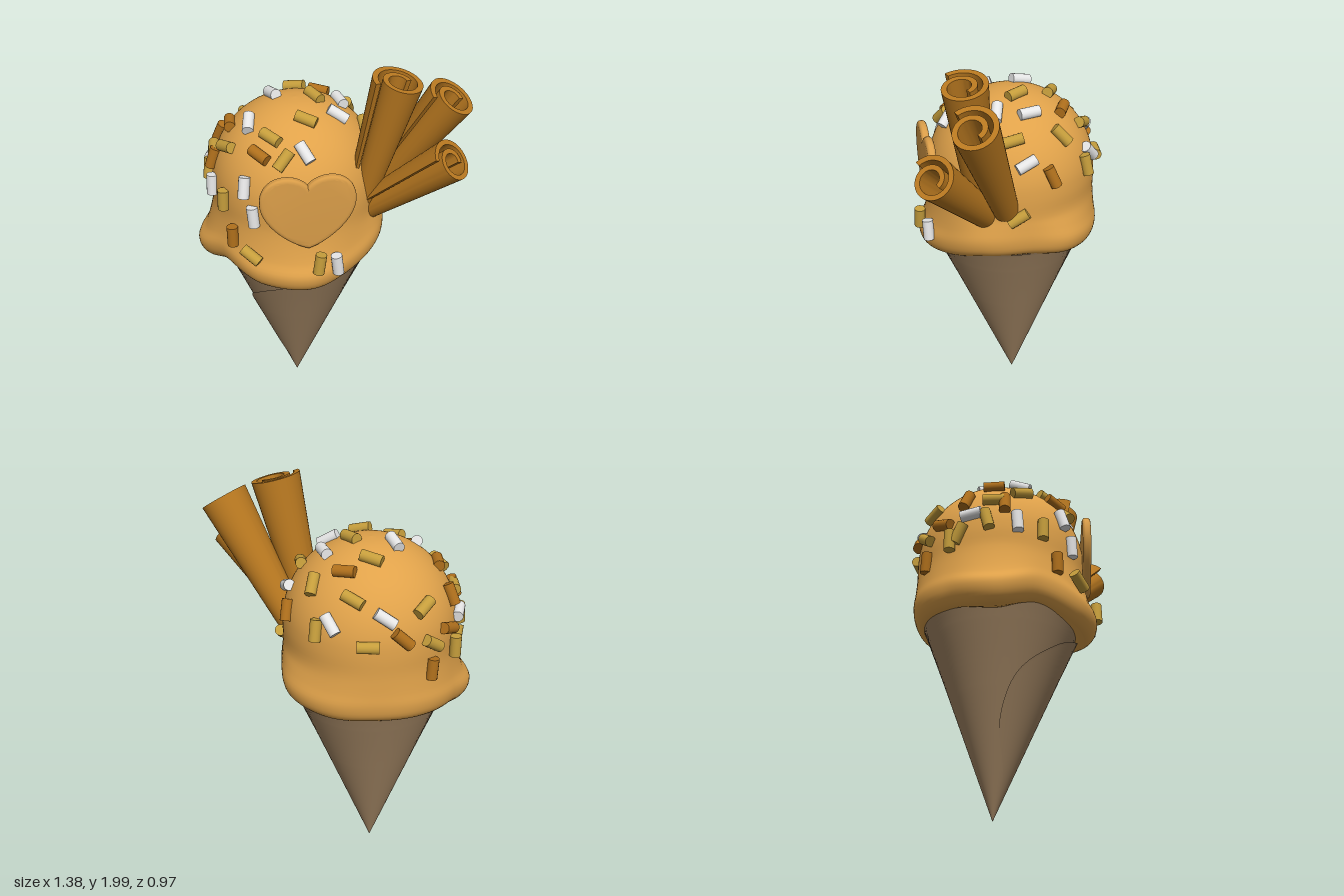
import * as THREE from 'three';
import { toCreasedNormals } from 'three/addons/utils/BufferGeometryUtils.js';

const V = (x, y, z) => new THREE.Vector3(x, y, z);
const CENTRE = V(-0.22, 1.34, -0.03);
const R = 0.43;

const paint = (name, color, side = THREE.FrontSide) => {
  const m = new THREE.MeshStandardMaterial({ color, side });
  m.name = name;
  return m;
};

// Grid surface: columns turn around the axis, rows run downwards
function grid(cols, rows, wrap, point) {
  const pos = [], idx = [], n = wrap ? cols : cols + 1;
  for (let j = 0; j <= rows; j++)
    for (let i = 0; i < n; i++) pos.push(...point(i / cols, j / rows).toArray());
  for (let j = 0; j < rows; j++)
    for (let i = 0; i < cols; i++) {
      const k = (i + 1) % n, a = j * n + i, b = j * n + k;
      idx.push(a, a + n, b, b, a + n, b + n);
    }
  const g = new THREE.BufferGeometry();
  g.setAttribute('position', new THREE.Float32BufferAttribute(pos, 3));
  g.setIndex(idx);
  g.computeVertexNormals();
  return g;
}

// Skirt of the scoop every 30 degrees from the front: [bulge radius, lowest height]
const SKIRT = new THREE.CatmullRomCurve3([
  [0.48, 0.93], [0.49, 0.92], [0.46, 0.95], [0.46, 1.01], [0.44, 1.02], [0.475, 1.0],
  [0.46, 0.98], [0.44, 0.98], [0.45, 0.97], [0.465, 0.95], [0.52, 0.91], [0.46, 0.97],
].map(([g, b]) => V(g, b, 0)), true);
const skirtAt = (phi) => SKIRT.getPoint(THREE.MathUtils.euclideanModulo(phi / (2 * Math.PI), 1));

function scoopGeometry() {
  const cols = 96, profiles = [];
  for (let i = 0; i < cols; i++) {
    const { x: g, y: b } = skirtAt((i / cols) * 2 * Math.PI);
    const pts = [];
    for (let k = 0; k <= 8; k++) {
      const a = (k / 8) * Math.PI / 2;
      pts.push(V(R * Math.sin(a), CENTRE.y + R * Math.cos(a), 0));
    }
    pts.push(V(0.43, 1.24, 0), V(R * 0.5 + g * 0.5, b + 0.17, 0), V(g, b + 0.1, 0),
      V(g - 0.015, b + 0.035, 0), V(g - 0.06, b, 0), V(0.33, b + 0.04, 0));
    profiles.push(new THREE.CatmullRomCurve3(pts));
  }
  return grid(cols, 56, true, (s, t) => {
    const p = profiles[Math.round(s * cols) % cols].getPoint(t), a = s * 2 * Math.PI;
    return V(CENTRE.x + Math.sin(a) * p.x, p.y, CENTRE.z + Math.cos(a) * p.x);
  });
}

// Rolled cone: one sheet spiralling inwards from a curved outer edge
function coneGeometry() {
  const edge = new THREE.CatmullRomCurve3([[0, 0], [0.2, -0.5], [0.4, -0.93], [0.6, -0.77],
    [0.8, -0.13], [0.9, 0.46], [1.03, 1.4]].map(([y, a]) => V(a, y, 0)));
  return grid(100, 40, false, (s, t) => {
    const e = edge.getPoint(1 - t);
    const y = Math.max(e.y, 0), a = e.x + s * 2 * Math.PI * 1.15;
    const r = 0.393 * y * (1 + 0.05 * (1 - s));
    return V(-0.25 + 0.03 * y + Math.sin(a) * r, y + 0.005, -0.04 + 0.025 * y + Math.cos(a) * r);
  });
}

// Rolled stick: spiral section extruded from base to top, wider at the top
function stickGeometry(length, topR, baseR) {
  const outer = [], inner = [], steps = 56, start = 0.95;
  for (let i = 0; i <= steps; i++) {
    const f = i / steps, a = start - f * Math.PI * 2 * 1.5, r = 1 - 0.55 * f;
    outer.push(new THREE.Vector2(Math.cos(a) * r, Math.sin(a) * r));
    inner.push(new THREE.Vector2(Math.cos(a) * (r - 0.2), Math.sin(a) * (r - 0.2)));
  }
  const shape = new THREE.Shape([...outer, ...inner.reverse()]);
  const g = new THREE.ExtrudeGeometry(shape, { depth: length, bevelEnabled: false });
  const p = g.attributes.position;
  for (let i = 0; i < p.count; i++) {
    const k = THREE.MathUtils.lerp(baseR, topR, p.getZ(i) / length);
    p.setXY(i, p.getX(i) * k, p.getY(i) * k);
  }
  return toCreasedNormals(g, 0.6);
}

function heartGeometry() {
  const s = new THREE.Shape();
  s.moveTo(0, -0.175);
  s.bezierCurveTo(0.08, -0.15, 0.21, -0.04, 0.21, 0.065);
  s.bezierCurveTo(0.21, 0.2, 0.05, 0.205, 0, 0.115);
  s.bezierCurveTo(-0.05, 0.205, -0.21, 0.2, -0.21, 0.065);
  s.bezierCurveTo(-0.21, -0.04, -0.08, -0.15, 0, -0.175);
  const g = new THREE.ExtrudeGeometry(s, { depth: 0.015, bevelSize: 0.02, bevelThickness: 0.014,
    bevelSegments: 4, curveSegments: 20 });
  return toCreasedNormals(g.translate(0, 0, -0.0075), 0.6);
}

// Is a point (relative to the scoop centre) inside the scoop?
function inside(p) {
  const h = Math.hypot(p.x, p.z);
  if (p.y > 0) return h * h + p.y * p.y < R * R;
  const k = THREE.MathUtils.smoothstep(-p.y, 0.1, 0.25);
  return h < THREE.MathUtils.lerp(R, skirtAt(Math.atan2(p.x, p.z)).x, k);
}

// Sprinkles dropped on the scoop along one direction: [across, up, angle, colour]
const TOP = [
  [-.17, .39, 25, 'g'], [-.22, .32, -25, 'w'], [-.07, .34, -25, 'g'], [.01, .405, -75, 'w'],
  [.15, .3, 80, 'g'], [.01, .26, 8, 'b'], [-.08, .17, 0, 'g'],
  [-.34, .17, -70, 'g'], [.17, .145, -45, 'w'], [.08, .05, -30, 'g'], [.22, 0, 10, 'w'],
  [-.12, .005, -40, 'w'], [.31, .11, -45, 'g'], [.12, -.14, 0, 'g'],
  [-.28, -.14, -60, 'b'], [-.145, -.205, -80, 'w'], [-.235, -.27, -10, 'g'], [0, -.27, -25, 'g'],
  [-.03, -.335, -35, 'b'], [.09, -.33, 85, 'g'], [.17, -.27, -40, 'w'], [-.35, -.185, -65, 'g'],
  [-.41, -.1, -45, 'w'],
];
const FRONT = [
  [-.21, .01, 88, 'g'], [-.03, -.015, 95, 'w'], [-.15, -.16, 90, 'b'], [-.03, -.215, -30, 'g'],
  [-.31, .03, 95, 'w'], [-.08, .12, 95, 'w'], [-.39, .04, -60, 'g'], [-.33, .14, 90, 'b'],
  [-.44, -.05, 90, 'g'], [.29, -.23, 80, 'g'], [.35, -.26, 100, 'w'],
];
const RIGHT = [
  [.17, -.085, 30, 'g'], [.41, .1, -70, 'g'], [.3, .11, -60, 'b'], [.19, .18, 35, 'w'],
];
const BACK_LEFT = [
  [0, -.1, -45, 'b'], [.155, -.14, -30, 'g'], [.26, -.085, -10, 'b'],
  [.33, -.13, 80, 'g'], [.31, .065, -70, 'b'], [.16, -.26, 95, 'b'],
];

export function createModel() {
  const model = new THREE.Group();
  const mats = {
    cone: paint('waferBrown', 0xa38664, THREE.DoubleSide),
    scoop: paint('caramel', 0xe0a24a),
    heart: paint('biscuit', 0xd89c48),
    stick: paint('cinnamon', 0xb87820),
    g: paint('goldSprinkle', 0xc69e3c),
    b: paint('brownSprinkle', 0xb0701c),
    w: paint('whiteSprinkle', 0xe6e6e6),
  };
  const add = (name, geometry, material, parent = model) => {
    const m = new THREE.Mesh(geometry, material);
    m.name = name;
    parent.add(m);
    return m;
  };

  add('cone', coneGeometry(), mats.cone);
  add('scoop', scoopGeometry(), mats.scoop);

  // Heart biscuit leaning on the scoop
  const heart = add('heartBiscuit', heartGeometry(), mats.heart);
  heart.position.set(0.01, 1.375, 0.345);
  heart.rotation.y = 0.55;

  // Rolled sticks: base, top, top radius
  const sticks = new THREE.Group();
  sticks.name = 'rolledSticks';
  model.add(sticks);
  for (const [base, top, r] of [
    [V(0.15, 1.29, 0.01), V(0.335, 1.965, 0.02), 0.138],
    [V(0.17, 1.28, -0.13), V(0.555, 1.865, -0.11), 0.135],
    [V(0.13, 1.2, -0.03), V(0.62, 1.63, 0.06), 0.122],
  ]) {
    const dir = top.clone().sub(base), length = dir.length();
    dir.normalize();
    const x = V(0, 0, 1).cross(dir).normalize(), y = dir.clone().cross(x);
    const stick = add('rolledStick', stickGeometry(length, r, 0.08), mats.stick, sticks);
    stick.quaternion.setFromRotationMatrix(new THREE.Matrix4().makeBasis(x, y, dir));
    stick.position.copy(base);
  }

  // Sprinkles
  const sprinkles = new THREE.Group();
  sprinkles.name = 'sprinkles';
  model.add(sprinkles);
  const rod = new THREE.CylinderGeometry(0.028, 0.028, 0.105, 16);
  const scatter = (list, right, up) => {
    const toward = right.clone().cross(up);
    for (const [u, v, deg, c] of list) {
      const p = right.clone().multiplyScalar(u).addScaledVector(up, v).addScaledVector(toward, 0.7);
      for (let i = 0; i < 140 && !inside(p); i++) p.addScaledVector(toward, -0.005);
      const n = V(p.x, Math.max(p.y, 0), p.z).normalize(), a = THREE.MathUtils.degToRad(deg);
      const t = right.clone().multiplyScalar(Math.cos(a)).addScaledVector(up, Math.sin(a));
      t.addScaledVector(n, -t.dot(n)).normalize();
      const s = add('sprinkle', rod, mats[c], sprinkles);
      s.quaternion.setFromUnitVectors(V(0, 1, 0), t);
      s.position.copy(p).add(CENTRE).addScaledVector(n, 0.014);
    }
  };
  const h = Math.SQRT1_2, ce = Math.cos(0.44), se = Math.sin(0.44);
  scatter(TOP, V(1, 0, 0), V(0, 0, -1));
  scatter(FRONT, V(1, 0, 0), V(0, 1, 0));
  scatter(RIGHT, V(0, 0, -1), V(0, 1, 0));
  scatter(BACK_LEFT, V(-h, 0, h), V(h * se, ce, h * se));
  return model;
}
